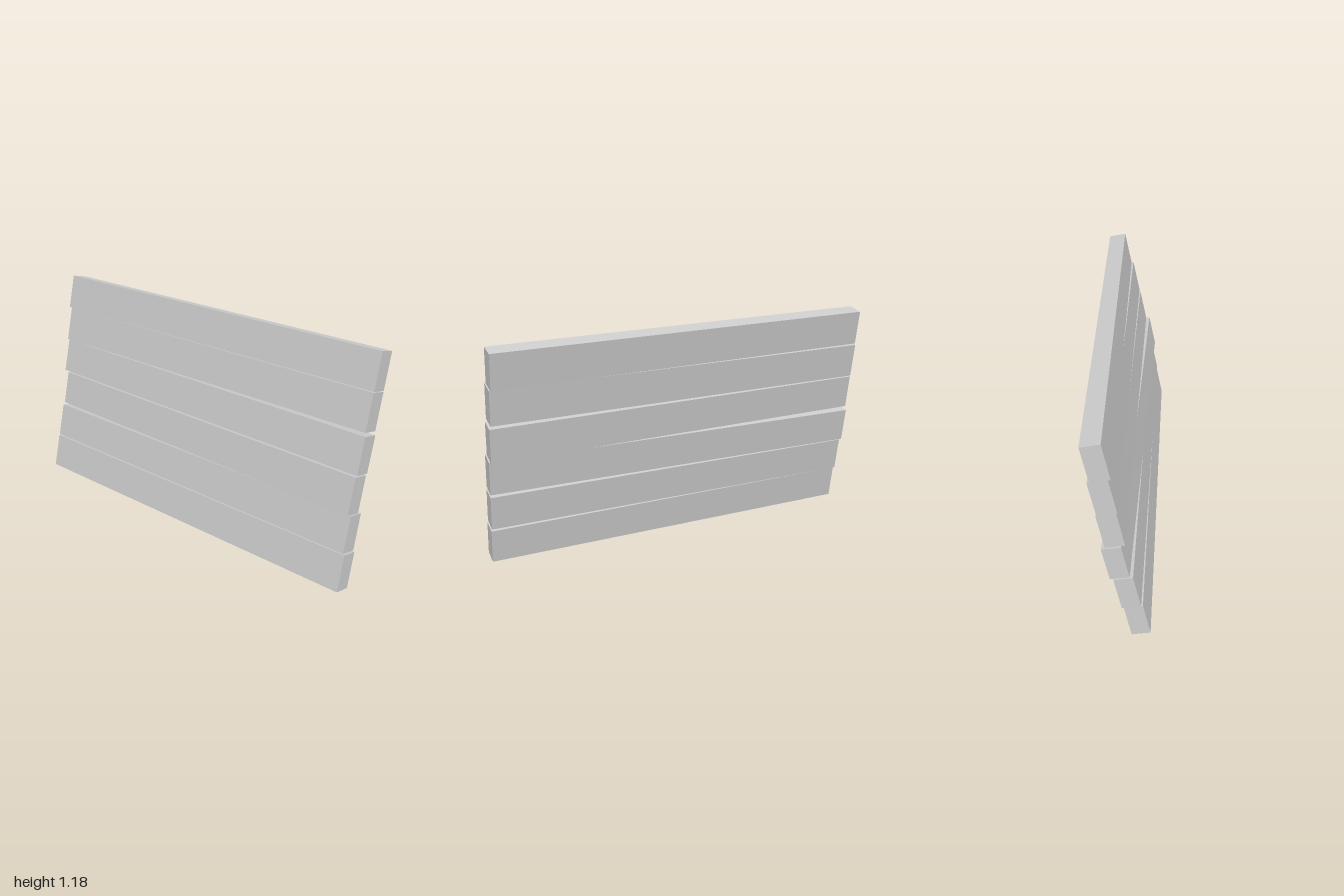
import * as THREE from 'three';

// Leaning wall of six loosely stacked planks
// Per plank: centre height, centre depth, rise and depth shift of the right end (-x) over the left end
const PLANKS = [
  [0.128, 0.099, 0.052, 0.003],
  [0.312, 0.060, 0.047, -0.010],
  [0.498, 0.025, 0.049, -0.044],
  [0.685, -0.013, 0.068, -0.006],
  [0.873, -0.050, 0.055, 0.005],
  [1.054, -0.087, 0.060, 0.028],
];
const LENGTH = 1.994, HEIGHT = 0.182, THICKNESS = 0.089;
const LEAN = THREE.MathUtils.degToRad(-11.8);

export function createModel() {
  const group = new THREE.Group();
  group.name = 'plankWall';
  const material = new THREE.MeshStandardMaterial({ color: 0xcccccc, flatShading: true });
  const geometry = new THREE.BoxGeometry(LENGTH, HEIGHT, THICKNESS);

  PLANKS.forEach(([y, z, rise, shift], i) => {
    const plank = new THREE.Mesh(geometry, material);
    plank.name = `plank${i + 1}`;
    plank.position.set(0, y, z);
    // Lean back first, then slope along the length, then turn slightly
    plank.rotation.set(LEAN, Math.asin(shift / 2), -Math.asin(rise / 2), 'YZX');
    group.add(plank);
  });
  return group;
}
